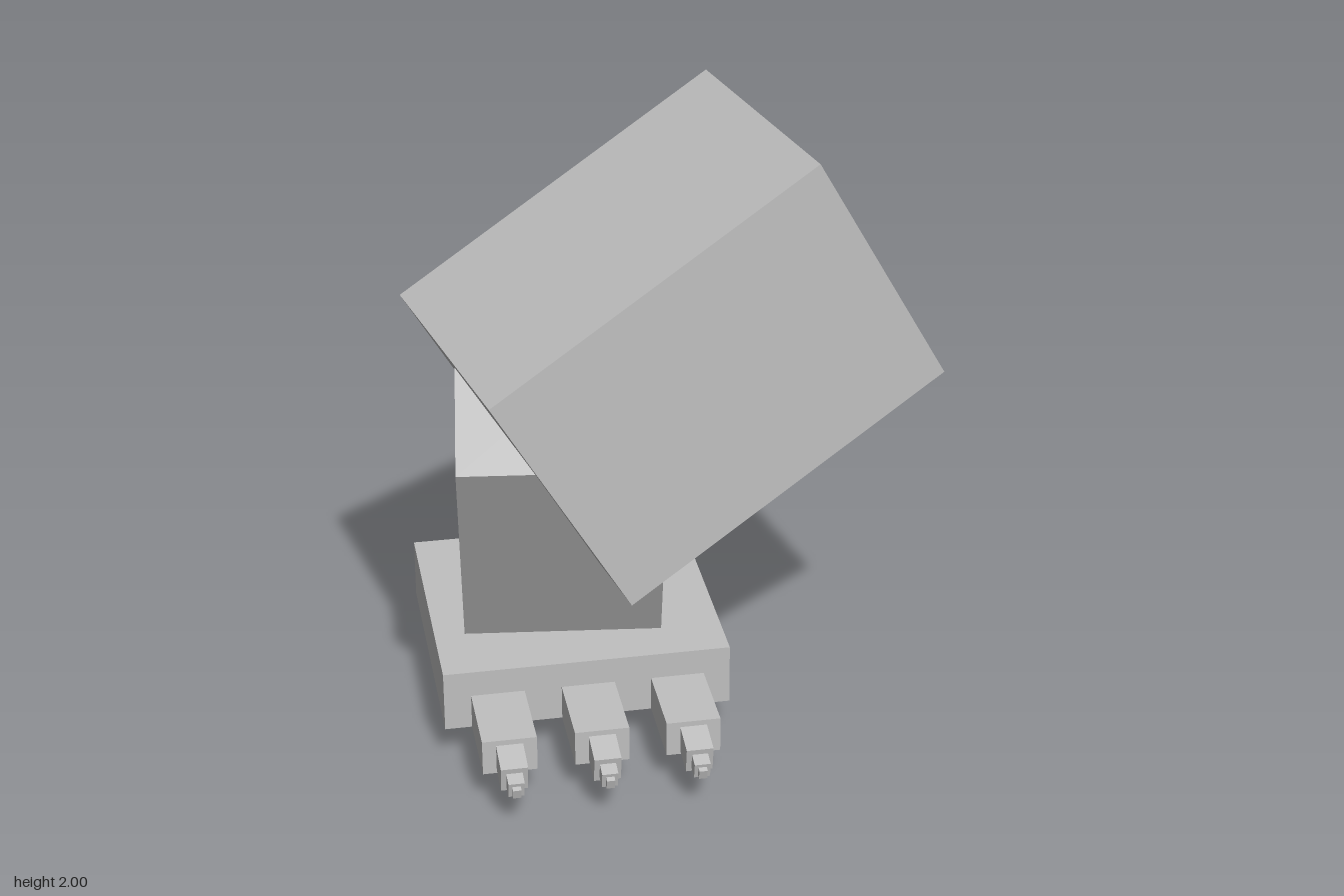
import * as THREE from 'three';

export function createModel() {
  const model = new THREE.Group();
  model.name = 'blockLeg';
  const grey = new THREE.MeshStandardMaterial({ color: 0xc0c0c0 });
  grey.name = 'grey';

  // Box placed by its centre; turned by yaw, then pitch, then roll (degrees)
  const addBox = (name, size, centre, [pitch, yaw, roll] = [0, 0, 0], parent = model) => {
    const mesh = new THREE.Mesh(new THREE.BoxGeometry(...size), grey);
    const rad = THREE.MathUtils.degToRad;
    mesh.name = name;
    mesh.position.set(...centre);
    mesh.rotation.set(rad(pitch), rad(yaw), rad(roll), 'YXZ');
    parent.add(mesh);
  };

  addBox('thigh', [1.187, 0.86, 0.857], [0, 1.33, 0.042], [0, 11.4, 30.3]);
  addBox('shin', [0.63, 1.216, 0.633], [-0.33, 0.688, -0.102], [26.6, -7.3, 0]);
  addBox('foot', [0.915, 0.2, 0.86], [-0.303, 0.215, -0.17]);

  // Three toes, each tapering forward in four segments
  [-0.59, -0.302, -0.015].forEach((x, i) => {
    const toe = new THREE.Group();
    toe.name = `toe${i + 1}`;
    toe.position.x = x;
    model.add(toe);
    addBox('toeBase', [0.17, 0.116, 0.375], [0, 0.171, 0.342], [0, 0, 0], toe);
    addBox('toeMiddle', [0.084, 0.085, 0.13], [0, 0.162, 0.565], [10, 0, 0], toe);
    addBox('toeTip', [0.05, 0.052, 0.06], [0, 0.146, 0.643], [12, 0, 0], toe);
    addBox('claw', [0.026, 0.033, 0.04], [0, 0.139, 0.668], [15, 0, 0], toe);
  });

  return model;
}
